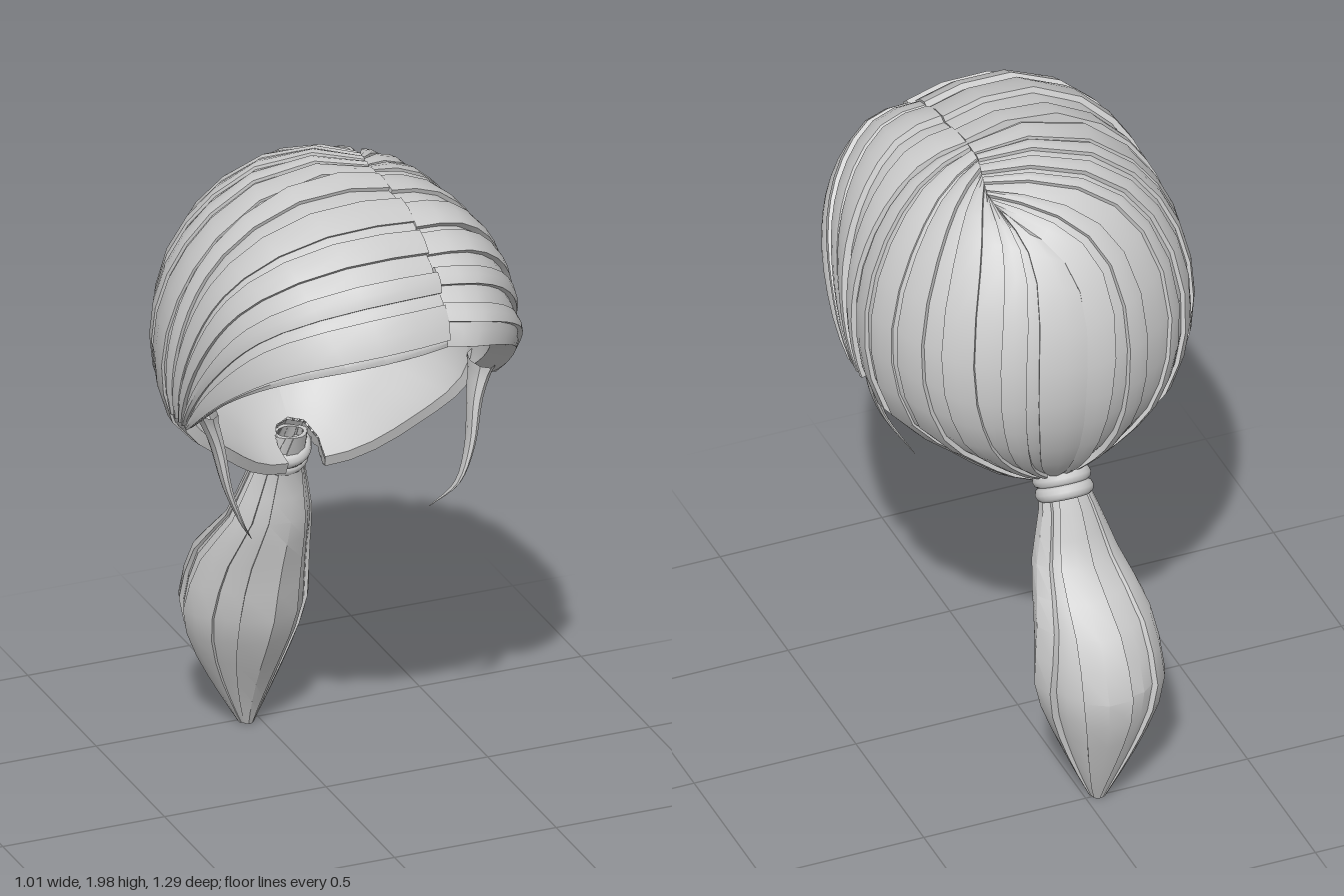
import * as THREE from 'three';
import { toCreasedNormals } from 'three/addons/utils/BufferGeometryUtils.js';

const material = new THREE.MeshStandardMaterial({ color: 0xcccccc, side: THREE.DoubleSide });
const V = (x, y, z) => new THREE.Vector3(x, y, z);
const { lerp, clamp, smoothstep } = THREE.MathUtils;

let seed = 7;
const rand = () => (seed = (seed * 16807) % 2147483647) / 2147483647;

// Surface from a point rule fn(i, j), creased at sharp edges
function grid(fn, nu, nv) {
  const pos = [], index = [];
  for (let i = 0; i <= nu; i++)
    for (let j = 0; j <= nv; j++) {
      const p = fn(i, j);
      pos.push(p.x, p.y, p.z);
      if (i < nu && j < nv) {
        const a = i * (nv + 1) + j, b = a + nv + 1;
        index.push(a, a + 1, b, b, a + 1, b + 1);
      }
    }
  const g = new THREE.BufferGeometry();
  g.setAttribute('position', new THREE.Float32BufferAttribute(pos, 3));
  g.setIndex(index);
  return toCreasedNormals(g, 0.6);
}

function add(parent, name, geometry) {
  const m = new THREE.Mesh(geometry, material);
  m.name = name;
  parent.add(m);
  return m;
}

// One raised lock of hair on surf(u, v, offset) between u0 and u1, swelling in the middle
function lock(surf, u0, u1, h0, h1, depth, nv = 14) {
  const section = [[0, -depth], [0, h0], [0.5, (h0 + h1) / 2 + depth * 0.15], [1, h1], [1, -depth]];
  const sway = (rand() - 0.5) * 0.3 * (u1 - u0);
  return grid((i, j) => {
    const [s, h] = section[i];
    const closed = j === 0 || j === nv + 2;
    const v = clamp((j - 1) / nv, 0, 1);
    const u = lerp(u0, u1, s) + sway * Math.sin(v * Math.PI * 2);
    return surf(u, v, closed ? -depth : h);
  }, 4, nv + 2);
}

// Cover u = 0..1 with locks of uneven width, high ones lapping over low ones
function locks(parent, name, surf, count, rise, depth) {
  const widths = Array.from({ length: count }, () => 0.5 + rand());
  const total = widths.reduce((a, b) => a + b);
  const lap = 0.12 / count;
  let u = 0;
  widths.forEach((w, i) => {
    const next = u + w / total;
    const level = rise * (i % 2 ? 0.75 : 0) + rise * 0.15 * rand();
    const tilt = rise * 0.5 * (rand() - 0.5);
    add(parent, name, lock(surf, u - lap, next + lap, level - tilt, level + tilt, depth));
    u = next;
  });
}

// Push a point radially on to the egg-shaped head volume, tapering below
const centre = V(0, 1.45, 0);
function toHead(p, off) {
  const d = p.clone().sub(centre);
  const k = 2 + 0.4 * smoothstep(d.z, 0, 0.3);
  const rx = 0.487 * (1 - 0.25 * smoothstep(-d.y, 0.2, 0.48));
  const n = (Math.abs(d.x / rx) ** k + Math.abs(d.y / 0.537) ** k
    + Math.abs(d.z / (d.z > 0 ? 0.66 : 0.493)) ** k) ** (1 / k);
  return d.multiplyScalar((1 + off) / n).add(centre);
}

// Guide strands from the parting outwards; the first point is shared by both sides
const frontGuides = [
  [[.125, 1.65, .61], [.3, 1.58, .5], [.41, 1.47, .33], [.45, 1.29, .11]],
  [[.13, 1.88, .4], [.38, 1.74, .3], [.47, 1.53, .18], [.46, 1.29, .06]],
  [[.13, 1.97, .08], [.42, 1.78, .06], [.49, 1.5, .03], [.46, 1.29, 0]],
];
const backGuides = [
  [[.13, 1.97, .1], [.42, 1.78, .1], [.49, 1.42, .05], [.36, 1.12, -.01], [.06, .95, -.15]],
  [[.13, 1.97, -.01], [.36, 1.82, -.13], [.46, 1.45, -.2], [.3, 1.1, -.23], [.07, .97, -.23]],
  [[.15, 1.95, -.1], [.24, 1.83, -.27], [.31, 1.4, -.39], [.2, 1.12, -.36], [.05, .99, -.3]],
  [[.16, 1.92, -.18], [0, 1.76, -.39], [0, 1.4, -.5], [0, 1.1, -.39], [0, 1, -.32]],
];

function headSurface(guides, side) {
  const curves = guides.map(g => new THREE.CatmullRomCurve3(
    g.map(([x, y, z], i) => V(i ? x * side : x, y, z))));
  return (u, v, off) => {
    const t = clamp(u, 0, 1) * (curves.length - 1);
    const i = Math.min(Math.floor(t), curves.length - 2);
    const p = curves[i].getPoint(v).lerp(curves[i + 1].getPoint(v), t - i);
    // Sink towards the parting, more on the narrow side
    return toHead(p, off - (side > 0 ? 0.05 : 0.04) * Math.exp(-((v / 0.08) ** 2)));
  };
}

// Ponytail stations: y, centre x, half width, centre z, half depth
const tailStations = [
  [1.03, -.01, .05, -.24, .045], [.9, -.03, .08, -.29, .06], [.75, -.04, .12, -.32, .09],
  [.6, -.055, .16, -.41, .15], [.42, -.06, .177, -.46, .17], [.25, -.055, .13, -.48, .12],
  [.1, -.045, .065, -.49, .06], [.01, -.04, .022, -.49, .025],
];
const tailCentre = new THREE.CatmullRomCurve3(tailStations.map(s => V(s[1], s[0], s[3])));
const tailSize = new THREE.CatmullRomCurve3(tailStations.map(s => V(s[2], 0, s[4])));
function tailSurface(u, v, off) {
  const a = u * Math.PI * 2 + 0.5 * v;
  const cos = Math.cos(a), sin = Math.sin(a);
  const c = tailCentre.getPoint(v), r = tailSize.getPoint(v);
  // Slightly diamond-shaped section
  const f = (1 + off) / (Math.abs(cos) ** 1.7 + Math.abs(sin) ** 1.7) ** (1 / 1.7);
  return c.add(V(cos * r.x * f, 0, sin * r.z * f));
}

export function createModel() {
  const model = new THREE.Group();
  model.name = 'ponytailHair';

  for (const side of [-1, 1]) {
    const half = new THREE.Group();
    half.name = side > 0 ? 'leftHair' : 'rightHair';
    model.add(half);
    const front = headSurface(frontGuides, side), back = headSurface(backGuides, side);

    locks(half, 'frontLock', front, 10, 0.038, 0.05);
    locks(half, 'backLock', back, 12, 0.032, 0.05);

    // Smooth lining, thickest at the brow, and the rims that join it to the locks
    for (const [surf, brow] of [[front, -0.14], [back, -0.07]]) {
      add(half, 'lining', grid((i, j) => surf(i / 16, j / 20, lerp(brow, -0.07, i / 16)), 16, 20));
      add(half, 'rim', grid((i, j) => surf(0, j / 20, brow * i / 2), 2, 20));
    }
    add(half, 'earRim', grid((i, j) => front(j / 6, 1, lerp(-0.14, -0.07, j / 6) * i / 2), 2, 6));

    // Loose wisp in front of the ear
    const path = new THREE.CatmullRomCurve3([
      V(.43 * side, 1.34, .12), V(.4 * side, 1.24, .14), V(.375 * side, 1.1, .165),
      V(.335 * side, .99, .17), V(.275 * side, .895, .105)]);
    add(half, 'wisp', grid((i, j) => {
      const v = j / 16, a = i / 8 * Math.PI * 2;
      const w = lerp(0.07, 0.002, Math.pow(v, 0.6));
      return path.getPoint(v).add(V(Math.cos(a) * w * 0.5, 0, Math.sin(a) * w));
    }, 8, 16));
  }

  // Ponytail
  const tail = new THREE.Group();
  tail.name = 'ponytail';
  model.add(tail);
  locks(tail, 'tailLock', tailSurface, 10, 0.13, 0.2);
  add(tail, 'tailCore', grid((i, j) => tailSurface(i / 16, j / 16, -0.15), 16, 16));

  // Hair tie: two stacked rings square to the gathered hair
  const axis = V(0, 0.85, 0.52).normalize();
  for (const shift of [-0.02, 0.02]) {
    const ring = add(model, 'hairTie', new THREE.TorusGeometry(0.062, 0.024, 10, 28));
    ring.quaternion.setFromUnitVectors(V(0, 0, 1), axis);
    ring.position.set(-0.02, 0.965, -0.285).addScaledVector(axis, shift);
  }
  return model;
}
